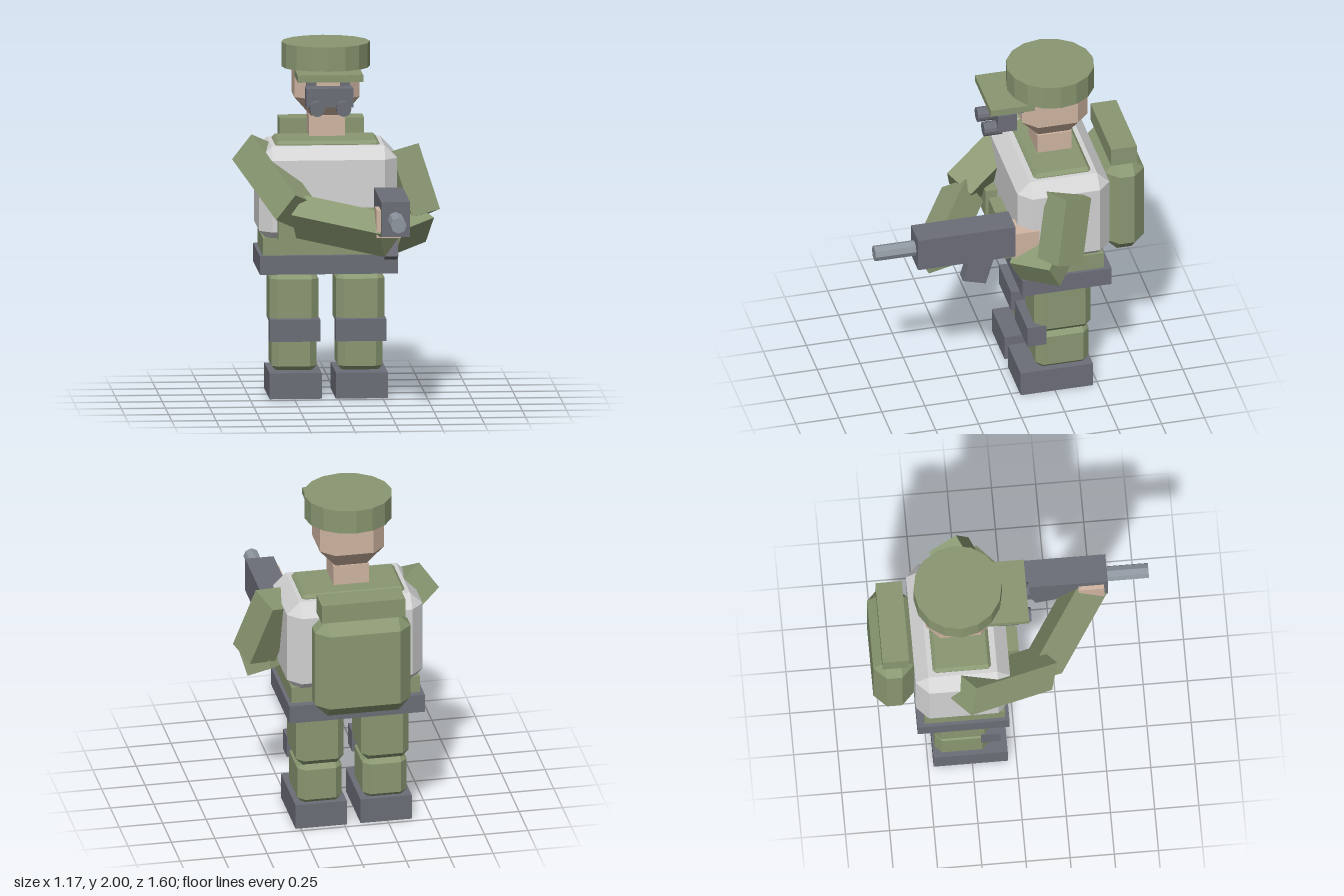
import * as THREE from 'three';
import { ConvexGeometry } from 'three/addons/geometries/ConvexGeometry.js';

const paint = (name, color) => {
  const m = new THREE.MeshStandardMaterial({ color });
  m.name = name;
  m.flatShading = true;
  return m;
};

export function createModel() {
  const green = paint('fatigue green', 0x8a9872);
  const dark = paint('dark grey', 0x6c6e78);
  const skin = paint('skin', 0xd0b5a2);
  const pale = paint('vest pale grey', 0xd4d4d4);
  const steel = paint('barrel steel', 0x8e969f);

  const model = new THREE.Group();
  model.name = 'soldier';
  const CX = -0.055; // body centre line

  const add = (name, geo, mat, x = 0, y = 0, z = 0) => {
    const mesh = new THREE.Mesh(geo, mat);
    mesh.name = name;
    mesh.position.set(x, y, z);
    model.add(mesh);
    return mesh;
  };

  // Box given by its limits on each axis
  const box = (name, mat, [x0, x1], [y0, y1], [z0, z1]) =>
    add(name, new THREE.BoxGeometry(x1 - x0, y1 - y0, z1 - z0), mat,
      (x0 + x1) / 2, (y0 + y1) / 2, (z0 + z1) / 2);

  // Hull of stacked rings [y, width, depth, corner cut]
  const stack = (rings) => {
    const pts = [];
    for (const [y, w, d, c] of rings) {
      for (const sx of [-1, 1]) for (const sz of [-1, 1]) {
        pts.push(new THREE.Vector3(sx * (w / 2 - c), y, sz * d / 2));
        if (c > 0) pts.push(new THREE.Vector3(sx * w / 2, y, sz * (d / 2 - c)));
      }
    }
    return new ConvexGeometry(pts);
  };

  // Box with every edge cut by c, given by its limits
  const chamferBox = (name, mat, [x0, x1], [y0, y1], [z0, z1], c) => {
    const w = x1 - x0, d = z1 - z0;
    return add(name, stack([
      [y0, w - 2 * c, d - 2 * c, 0], [y0 + c, w, d, c],
      [y1 - c, w, d, c], [y1, w - 2 * c, d - 2 * c, 0],
    ]), mat, (x0 + x1) / 2, 0, (z0 + z1) / 2);
  };

  // Square beam from one joint to another, rolled so one side faces `side`
  const limb = (name, from, to, side, size) => {
    const a = new THREE.Vector3(...from), b = new THREE.Vector3(...to);
    const axis = b.clone().sub(a), length = axis.length();
    axis.normalize();
    const u = new THREE.Vector3(...side);
    u.addScaledVector(axis, -u.dot(axis)).normalize();
    const v = new THREE.Vector3().crossVectors(u, axis);
    const mesh = add(name, new THREE.BoxGeometry(size, length, size), green);
    mesh.quaternion.setFromRotationMatrix(new THREE.Matrix4().makeBasis(u, axis, v));
    mesh.position.copy(a).add(b).multiplyScalar(0.5);
  };

  // Legs, knee pads and boots
  for (const [side, s] of [['right', -1], ['left', 1]]) {
    const x = CX + s * 0.187;
    const span = (w) => [x - w / 2, x + w / 2];
    box(side + 'Boot', dark, span(0.295), [0, 0.147], [-0.47, -0.05]);
    chamferBox(side + 'Shin', green, span(0.255), [0.13, 0.395], [-0.46, -0.15], 0.04);
    chamferBox(side + 'Thigh', green, span(0.275), [0.375, 0.71], [-0.47, -0.14], 0.042);
    box(side + 'KneePad', dark, span(0.285), [0.32, 0.445], [-0.2, -0.09]);
  }

  // Torso
  box('belt', dark, [-0.445, 0.335], [0.71, 0.817], [-0.565, -0.045]);
  box('waist', green, [-0.425, 0.315], [0.817, 0.915], [-0.525, -0.07]);
  chamferBox('vest', pale, [-0.445, 0.335], [0.88, 1.432], [-0.57, -0.035], 0.072);
  chamferBox('collar', green, [-0.35, 0.24], [1.36, 1.455], [-0.47, -0.14], 0.018);
  for (const dx of [-0.215, 0, 0.215]) {
    const x = CX + dx;
    box('pouch', green, [x - 0.075, x + 0.075], [0.915, 1.09], [-0.05, 0.035]);
  }

  // Backpack with a roll on top
  chamferBox('backpack', green, [-0.33, 0.22], [0.82, 1.415], [-0.8, -0.57], 0.072);
  box('packRoll', green, [-0.295, 0.185], [1.41, 1.52], [-0.75, -0.6]);

  // Neck, head and cap
  box('neck', skin, [-0.155, 0.048], [1.475, 1.592], [-0.405, -0.205]);
  add('head', stack([
    [1.59, 0.18, 0.18, 0], [1.7, 0.37, 0.38, 0.075], [1.88, 0.37, 0.38, 0.075],
  ]), skin, CX, 0, -0.305);
  add('cap', new THREE.CylinderGeometry(0.25, 0.25, 0.14, 16), green, CX, 1.93, -0.305);
  box('capPeak', green, [-0.24, 0.13], [1.822, 1.862], [-0.17, 0.085]);

  // Goggles
  box('goggleBody', dark, [-0.188, 0.078], [1.67, 1.778], [-0.08, 0.03]);
  for (const s of [-1, 1]) {
    const x = CX + s * 0.075;
    const lens = add('goggleLens', new THREE.CylinderGeometry(0.042, 0.042, 0.105, 12), dark, x, 1.67, 0.052);
    lens.rotation.x = Math.PI / 2;
    const mx = CX + s * 0.095;
    box('goggleMount', dark, [mx - 0.028, mx + 0.028], [1.775, 1.825], [-0.122, -0.085]);
  }

  // Arms
  limb('rightUpperArm', [-0.465, 1.375, -0.305], [-0.25, 1.095, 0.17], [0.58, 0.79, 0.21], 0.185);
  limb('rightForearm', [-0.23, 1.07, 0.16], [0.25, 1.0, 0.455], [-0.036, 0.145, 0.09], 0.175);
  limb('leftUpperArm', [0.355, 1.374, -0.31], [0.47, 1.01, -0.23], [-0.38, -0.27, -0.89], 0.182);
  limb('leftForearm', [0.469, 0.977, -0.234], [0.284, 0.937, -0.049], [0.24, 0.85, 0.42], 0.17);
  box('rightHand', skin, [0.172, 0.31], [1.0, 1.158], [0.4, 0.545]);
  box('leftHand', skin, [0.2, 0.352], [0.975, 1.152], [-0.14, 0.005]);

  // Rifle
  box('rifleBody', dark, [0.197, 0.36], [1.008, 1.207], [0, 0.567]);
  const barrel = add('rifleBarrel', new THREE.CylinderGeometry(0.045, 0.045, 0.26, 8), steel, 0.278, 1.107, 0.673);
  barrel.rotation.x = Math.PI / 2;
  const magazine = add('rifleMagazine', new THREE.BoxGeometry(0.07, 0.2, 0.138), dark, 0.278, 0.935, 0.2);
  magazine.rotation.x = -0.28;

  return model;
}
